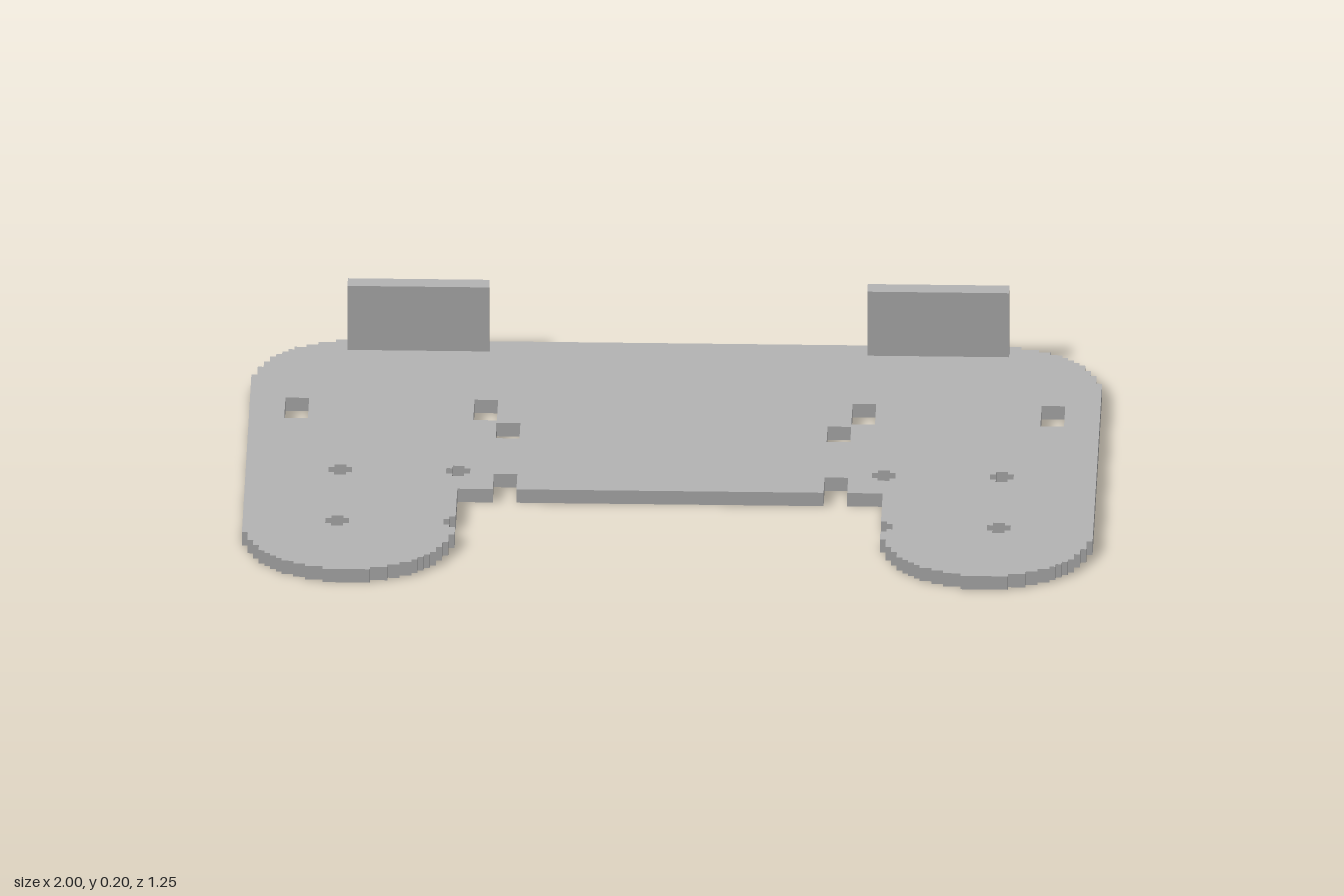
import * as THREE from 'three';

const CELL = 1 / 72;          // grid step used for every outline
const THICKNESS = 2.5;        // plate thickness in cells
const RADIUS = 18;            // corner radius in cells

// Half width of a stepped circle in row j
const stepWidth = (j) => Math.floor(Math.sqrt(RADIUS * RADIUS - (j + 0.5) ** 2) + 0.5);

// Outline of the +x half, from the back centre round to the front centre
function halfOutline() {
  const pts = [];
  for (let j = RADIUS - 1; j >= 0; j--) {            // back corner
    const x = 54 + stepWidth(j);
    pts.push([x, -28 - j], [x, -27 - j]);
  }
  for (let j = 0; j < RADIUS; j++) {                 // outer side of the lobe
    const x = 54 + stepWidth(j);
    pts.push([x, 27 + j], [x, 28 + j]);
  }
  for (let j = RADIUS - 1; j >= 1; j--) {            // inner side of the lobe
    const x = 54 - stepWidth(j);
    pts.push([x, 28 + j], [x, 27 + j]);
  }
  // half hole in the inner edge, then the notch in the front edge
  pts.push([37, 28], [37, 27], [38, 27], [38, 25], [37, 25], [37, 24], [36, 24]);
  pts.push([36, 13], [30, 13], [30, 7], [26, 7], [26, 13]);
  return pts;
}

// Drop repeated points and points in the middle of a straight run
function clean(pts) {
  const p = pts.filter((a, i) => {
    const b = pts[(i + 1) % pts.length];
    return a[0] !== b[0] || a[1] !== b[1];
  });
  return p.filter((b, i) => {
    const a = p[(i + p.length - 1) % p.length], c = p[(i + 1) % p.length];
    return (b[0] - a[0]) * (c[1] - b[1]) !== (b[1] - a[1]) * (c[0] - b[0]);
  });
}

const toVectors = (pts) => pts.map(([x, z]) => new THREE.Vector2(x * CELL, z * CELL));

// Slot with corners (x0, z0) and (x1, z1)
const slot = (x0, z0, x1, z1) => [[x0, z0], [x1, z0], [x1, z1], [x0, z1]];

// Screw hole: a four cell square with its corners stepped
const screwHole = (x, z) => [
  [-1, -2], [1, -2], [1, -1], [2, -1], [2, 1], [1, 1],
  [1, 2], [-1, 2], [-1, 1], [-2, 1], [-2, -1], [-1, -1],
].map(([a, b]) => [x + a, z + b]);

export function createModel() {
  const model = new THREE.Group();
  model.name = 'mountingPlate';
  const grey = new THREE.MeshStandardMaterial({ color: 0xb4b4b4 });
  grey.name = 'grey';

  // Base plate
  const half = halfOutline();
  const mirrored = half.map(([x, z]) => [-x, z]).reverse();
  const shape = new THREE.Shape(toVectors(clean([...half, ...mirrored])));
  const holes = [
    slot(62, -22, 66, -14), slot(30, -22, 34, -14), slot(26, -13, 30, -7),
    screwHole(56, 6), screwHole(36, 6), screwHole(56, 26),
  ];
  for (const hole of holes) {
    for (const side of [1, -1]) {
      shape.holes.push(new THREE.Path(toVectors(hole.map(([x, z]) => [side * x, z]))));
    }
  }
  const plateGeometry = new THREE.ExtrudeGeometry(shape, {
    depth: THICKNESS * CELL, bevelEnabled: false,
  });
  plateGeometry.rotateX(Math.PI / 2);
  plateGeometry.translate(0, THICKNESS * CELL, 0);
  const plate = new THREE.Mesh(plateGeometry, grey);
  plate.name = 'basePlate';
  model.add(plate);

  // Upright tabs along the back edge
  for (const side of [1, -1]) {
    const tab = new THREE.Mesh(new THREE.BoxGeometry(24 * CELL, 12 * CELL, 3 * CELL), grey);
    tab.name = side > 0 ? 'leftTab' : 'rightTab';
    tab.position.set(side * 44 * CELL, (THICKNESS + 6) * CELL, -42.5 * CELL);
    model.add(tab);
  }
  return model;
}
